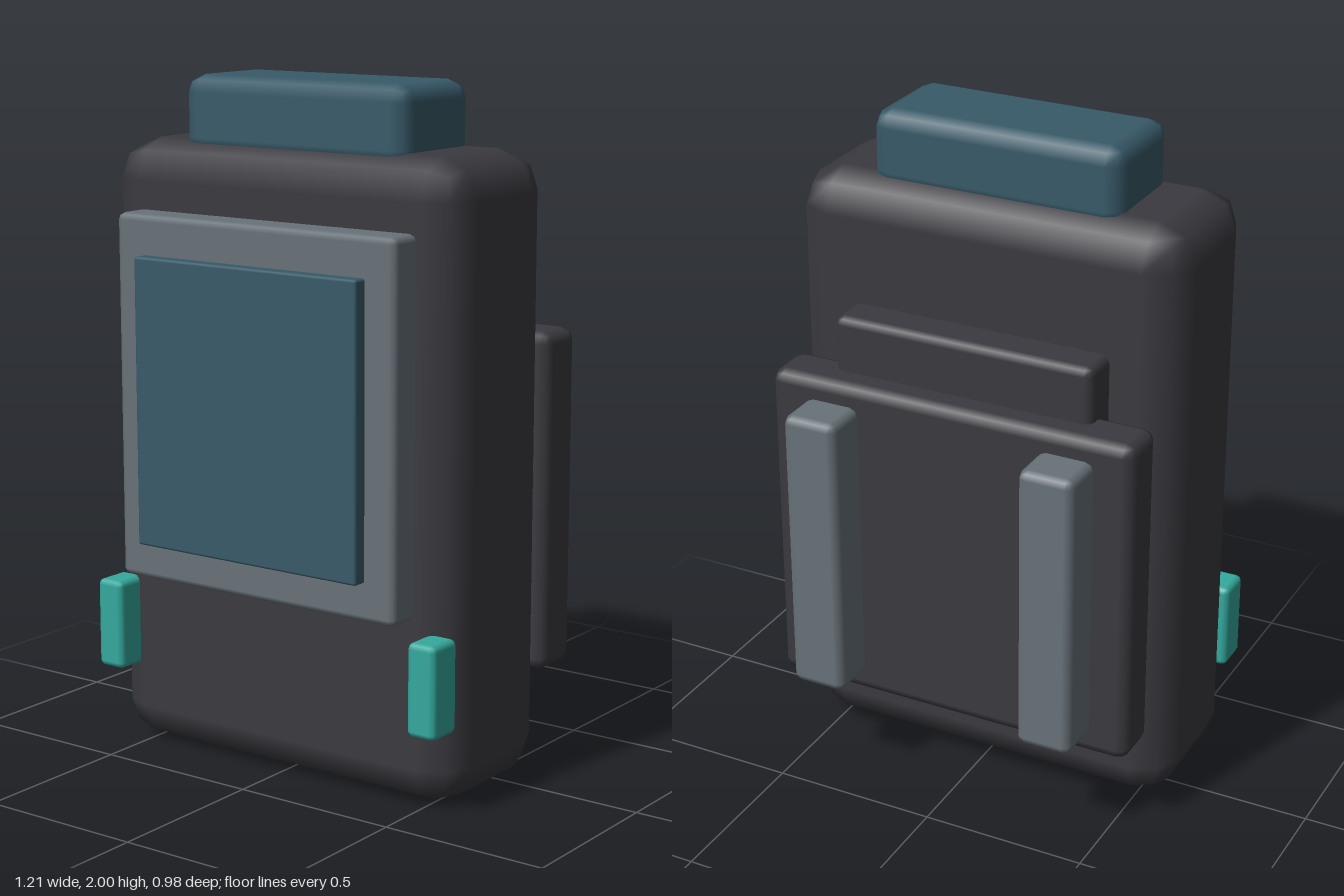
import * as THREE from 'three';
import { RoundedBoxGeometry } from 'three/addons/geometries/RoundedBoxGeometry.js';

const paint = (name, color) => {
  const m = new THREE.MeshStandardMaterial({ color });
  m.name = name;
  return m;
};

export function createModel() {
  const charcoal = paint('charcoal', 0x3b3a40);
  const slateBlue = paint('slateBlue', 0x385a69);
  const grey = paint('grey', 0x687279);
  const teal = paint('teal', 0x34a99e);

  const model = new THREE.Group();
  model.name = 'handheldDevice';

  // Bevelled block given by its ranges along x, y and z
  const block = (name, material, [x0, x1], [y0, y1], [z0, z1], radius) => {
    const geometry = new RoundedBoxGeometry(x1 - x0, y1 - y0, z1 - z0, 1, radius);
    const mesh = new THREE.Mesh(geometry, material);
    mesh.position.set((x0 + x1) / 2, (y0 + y1) / 2, (z0 + z1) / 2);
    mesh.name = name;
    model.add(mesh);
  };

  // Body and top cap
  block('body', charcoal, [-0.605, 0.605], [0, 1.815], [-0.155, 0.35], 0.115);
  block('topCap', slateBlue, [-0.387, 0.387], [1.77, 2], [-0.07, 0.265], 0.05);

  // Screen in its frame
  block('screenFrame', grey, [-0.485, 0.485], [0.547, 1.615], [0.29, 0.447], 0.02);
  block('screen', slateBlue, [-0.387, 0.387], [0.66, 1.5], [0.4, 0.489], 0.008);

  // Stepped back pack
  block('backMount', charcoal, [-0.404, 0.404], [0.24, 1.445], [-0.27, -0.1], 0.025);
  block('backPlate', charcoal, [-0.57, 0.57], [0.275, 1.28], [-0.355, -0.19], 0.035);

  // Mirrored back rails and front side lights
  for (const [side, s] of [['left', 1], ['right', -1]]) {
    const span = (a, b) => (s > 0 ? [a, b] : [-b, -a]);
    block(side + 'BackRail', grey, span(0.285, 0.453), [0.34, 1.215], [-0.489, -0.3], 0.025);
    block(side + 'SideLight', teal, span(0.512, 0.605), [0.24, 0.51], [0.31, 0.427], 0.018);
  }

  return model;
}
